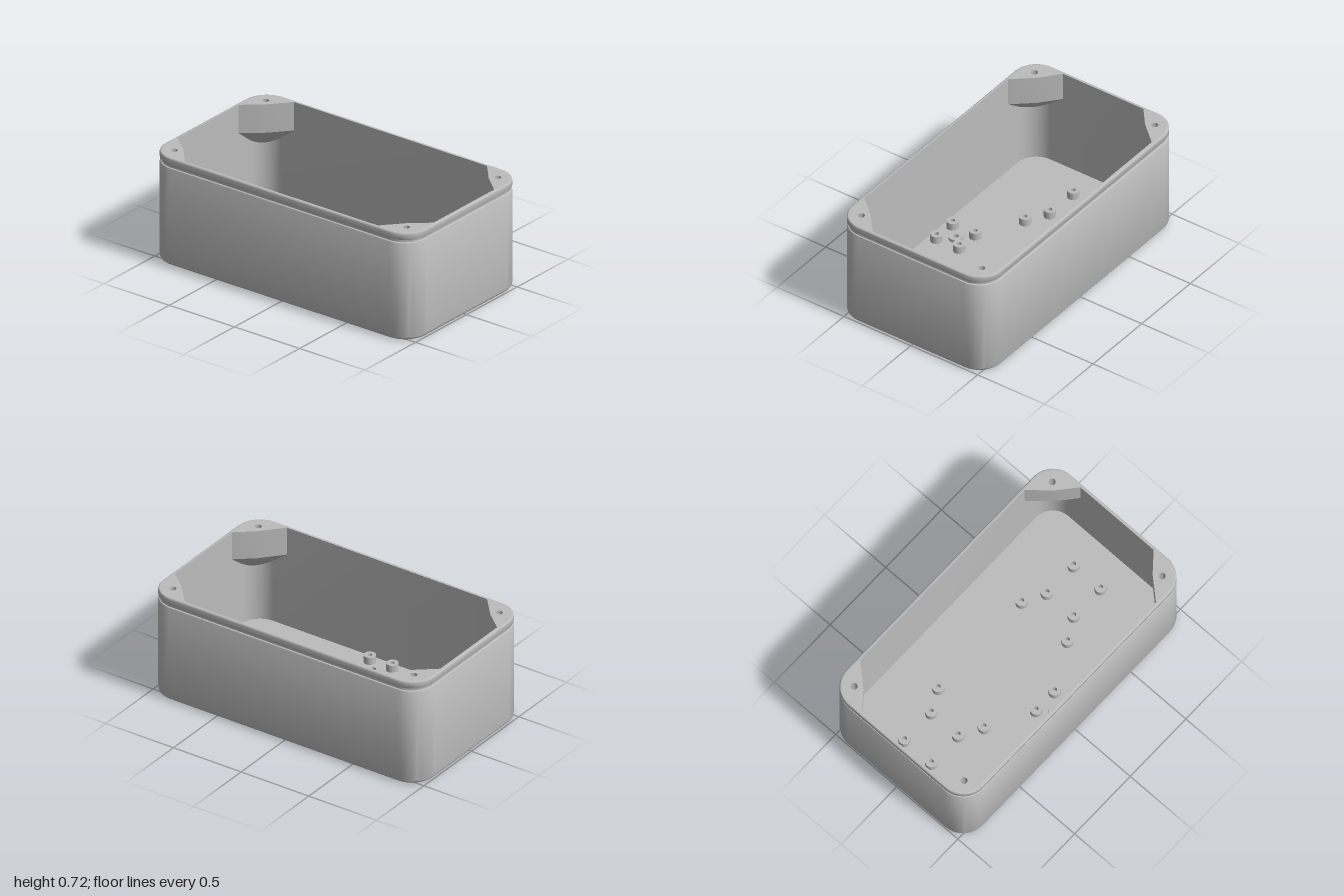
import * as THREE from 'three';
import { toCreasedNormals } from 'three/addons/utils/BufferGeometryUtils.js';

const HX = 1, HZ = 0.557, R = 0.16, TOP = 0.72;
const WALL = 0.02, FLOOR = 0.03, RECESS = 0.013;

// Rounded rectangle as [x, z] points, shrunk by an inset
function ring(inset, n = 10) {
  const r = R - inset, pts = [];
  [[1, 1], [-1, 1], [-1, -1], [1, -1]].forEach(([sx, sz], q) => {
    for (let i = 0; i <= n; i++) {
      const a = (q + i / n) * Math.PI / 2;
      pts.push([sx * (HX - R) + r * Math.cos(a), sz * (HZ - R) + r * Math.sin(a)]);
    }
  });
  return pts;
}

function circle(x, z, r, n = 32) {
  return Array.from({ length: n }, (_, i) => {
    const a = i / n * Math.PI * 2;
    return [x + r * Math.cos(a), z + r * Math.sin(a)];
  });
}

// Upright prism from an [x, z] outline with holes
function plate(outline, holes, y, height) {
  const vec = (pts) => pts.map(([x, z]) => new THREE.Vector2(x, -z));
  const shape = new THREE.Shape(vec(outline));
  holes.forEach((h) => shape.holes.push(new THREE.Path(vec(h))));
  const geo = new THREE.ExtrudeGeometry(shape, { depth: height, bevelEnabled: false });
  geo.rotateX(-Math.PI / 2).translate(0, y, 0);
  return toCreasedNormals(geo, 0.6);
}

// Surface through rows of [x, y, z] points
function loft(rows, closed) {
  const n = rows[0].length, index = [];
  for (let i = 0; i < rows.length - 1; i++) {
    for (let j = 0; j < (closed ? n : n - 1); j++) {
      const k = (j + 1) % n;
      const a = i * n + j, b = i * n + k, c = a + n, d = b + n;
      index.push(a, c, b, b, c, d);
    }
  }
  const geo = new THREE.BufferGeometry();
  geo.setAttribute('position', new THREE.Float32BufferAttribute(rows.flat(2), 3));
  geo.setIndex(index);
  return toCreasedNormals(geo, 0.6);
}

export function createModel() {
  const group = new THREE.Group();
  const grey = new THREE.MeshStandardMaterial({ color: 0xbcbcbc, side: THREE.DoubleSide });
  grey.name = 'plain grey';
  const add = (name, geo) => {
    const mesh = new THREE.Mesh(geo, grey);
    mesh.name = name;
    group.add(mesh);
  };

  // Walls: bottom fillet, seal groove, rounded lip, then down the inside
  const profile = [];
  for (let i = 0; i <= 5; i++) {
    const a = i / 5 * Math.PI / 2;
    profile.push([0.03 * (1 - Math.sin(a)), 0.03 * (1 - Math.cos(a))]);
  }
  profile.push([0, 0.647], [0.003, 0.652], [0.01, 0.655], [0.01, 0.671], [0.003, 0.673], [0, 0.678]);
  for (let i = 0; i <= 3; i++) {
    const a = i / 3 * Math.PI / 2;
    profile.push([0.008 * (1 - Math.cos(a)), TOP - 0.008 * (1 - Math.sin(a))]);
  }
  profile.push([WALL, TOP], [WALL, FLOOR]);
  add('walls', loft(profile.map(([inset, y]) => ring(inset).map(([x, z]) => [x, y, z])), true));

  // Floor in two layers: round foot recesses below, one drain hole through both
  const drain = circle(0, 0.39, 0.018);
  const feet = [[1, 1], [-1, 1], [-1, -1], [1, -1]].map(([sx, sz]) => circle(sx * 0.705, sz * 0.333, 0.097, 40));
  add('floorUnderside', plate(ring(0.03), [...feet, drain], 0, RECESS));
  add('floor', plate(ring(WALL), [drain], RECESS, FLOOR - RECESS));

  // Mounting posts standing on the floor
  const posts = [[0.76, -0.155], [0.76, 0.065], [0.52, -0.155], [0.52, 0.065],
    [0.375, -0.23], [0.375, 0.145], [0.083, 0.305], [0.083, 0.475]];
  for (const [x, z] of posts) {
    for (const s of [1, -1]) {
      add('mountingPost', plate(circle(s * x, z, 0.038), [circle(s * x, z, 0.015, 20)], FLOOR, 0.05));
    }
  }
  add('drainCollar', plate(circle(0, 0.39, 0.045), [drain], FLOOR, 0.02));

  // Corner screw blocks, each with a sloped support running back to the wall
  const blockBase = 0.53, N = 16;
  const front = new THREE.CurvePath();
  const v = (x, z) => new THREE.Vector2(x, z);
  front.add(new THREE.LineCurve(v(0.98, 0.30), v(0.86, 0.40)));
  front.add(new THREE.LineCurve(v(0.86, 0.40), v(0.74, 0.537)));
  const back = new THREE.Path();
  back.moveTo(0.98, 0.30).lineTo(0.98, HZ - R);
  back.absarc(HX - R, HZ - R, R - WALL, 0, Math.PI / 2, false);
  back.lineTo(0.74, 0.537);
  const frontPts = [[0.98, 0.30], [0.86, 0.40], [0.74, 0.537]];
  const backPts = ring(WALL).slice(0, 11);
  for (const sx of [1, -1]) {
    for (const sz of [1, -1]) {
      const outline = [...frontPts, ...backPts.slice().reverse()].map(([x, z]) => [sx * x, sz * z]);
      const hole = circle(sx * 0.89, sz * 0.45, 0.022, 24);
      add('screwBlock', plate(outline, [hole], blockBase, TOP - blockBase));
      const upper = [], lower = [];
      for (let i = 0; i <= N; i++) {
        const f = front.getPointAt(i / N), b = back.getPointAt(i / N);
        upper.push([sx * f.x, blockBase, sz * f.y]);
        lower.push([sx * b.x, blockBase - f.distanceTo(b), sz * b.y]);
      }
      add('blockSupport', loft(sx * sz > 0 ? [upper, lower] : [lower, upper], false));
    }
  }
  return group;
}
